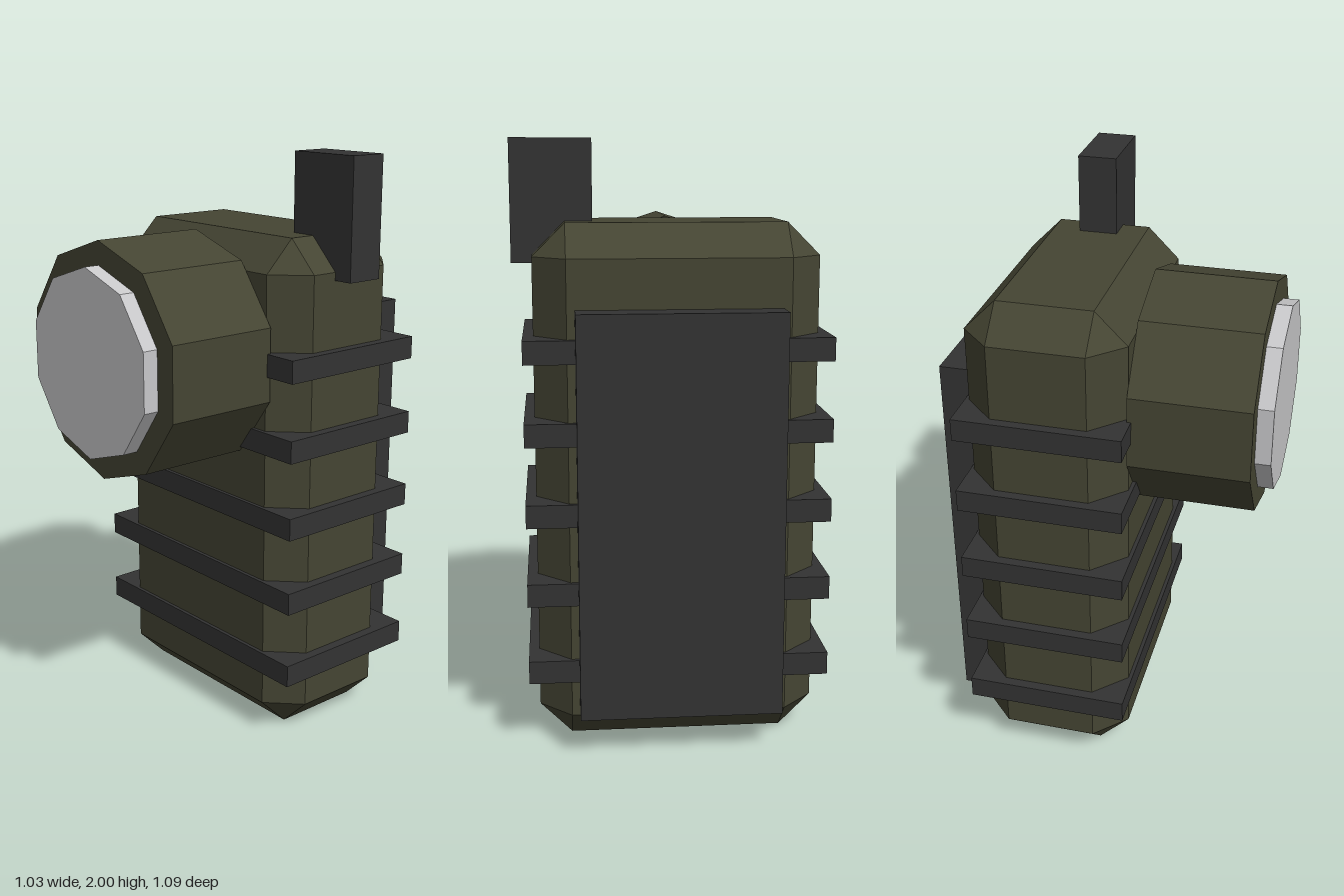
import * as THREE from 'three';
import { ConvexGeometry } from 'three/addons/geometries/ConvexGeometry.js';

const material = (name, color) => {
  const m = new THREE.MeshStandardMaterial({ color });
  m.name = name;
  m.flatShading = true;
  return m;
};

// Box with all edges bevelled by c, as the hull of its 24 corners
function chamferedBox(w, h, d, c) {
  const points = [];
  for (const x of [-w / 2, w / 2])
    for (const y of [-h / 2, h / 2])
      for (const z of [-d / 2, d / 2]) {
        const ix = x - Math.sign(x) * c, iy = y - Math.sign(y) * c, iz = z - Math.sign(z) * c;
        points.push(
          new THREE.Vector3(x, iy, iz),
          new THREE.Vector3(ix, y, iz),
          new THREE.Vector3(ix, iy, z));
      }
  return new ConvexGeometry(points);
}

export function createModel() {
  const group = new THREE.Group();
  group.name = 'flashlight';
  const olive = material('olive casing', 0x454533);
  const dark = material('dark rubber', 0x333333);
  const glass = material('pale glass', 0xc8c8ca);

  const add = (name, geometry, mat, x, y, z) => {
    const mesh = new THREE.Mesh(geometry, mat);
    mesh.name = name;
    mesh.position.set(x, y, z);
    group.add(mesh);
  };
  const disc = (radius, depth) =>
    new THREE.CylinderGeometry(radius, radius, depth, 10).rotateX(Math.PI / 2);

  const cx = -0.02;

  // Casing
  add('casing', chamferedBox(0.932, 1.735, 0.533, 0.107), olive, cx, 0.8675, -0.174);

  // Lamp head facing forward, with its lens
  add('lampHead', disc(0.4, 0.4), olive, cx, 1.336, 0.292);
  add('lens', disc(0.32, 0.1), glass, cx, 1.336, 0.495);

  // Grip ribs around the casing
  for (let i = 0; i < 5; i++)
    add(`gripRib${i + 1}`, new THREE.BoxGeometry(1, 0.077, 0.559), dark, cx, 0.268 + i * 0.267, -0.174);

  // Belt clip plate on the back
  add('backClip', new THREE.BoxGeometry(0.666, 1.333, 0.11), dark, cx, 0.801, -0.491);

  // Switch tab at the top left
  add('switchTab', new THREE.BoxGeometry(0.266, 0.399, 0.132), dark, 0.381, 1.8005, -0.174);

  return group;
}
